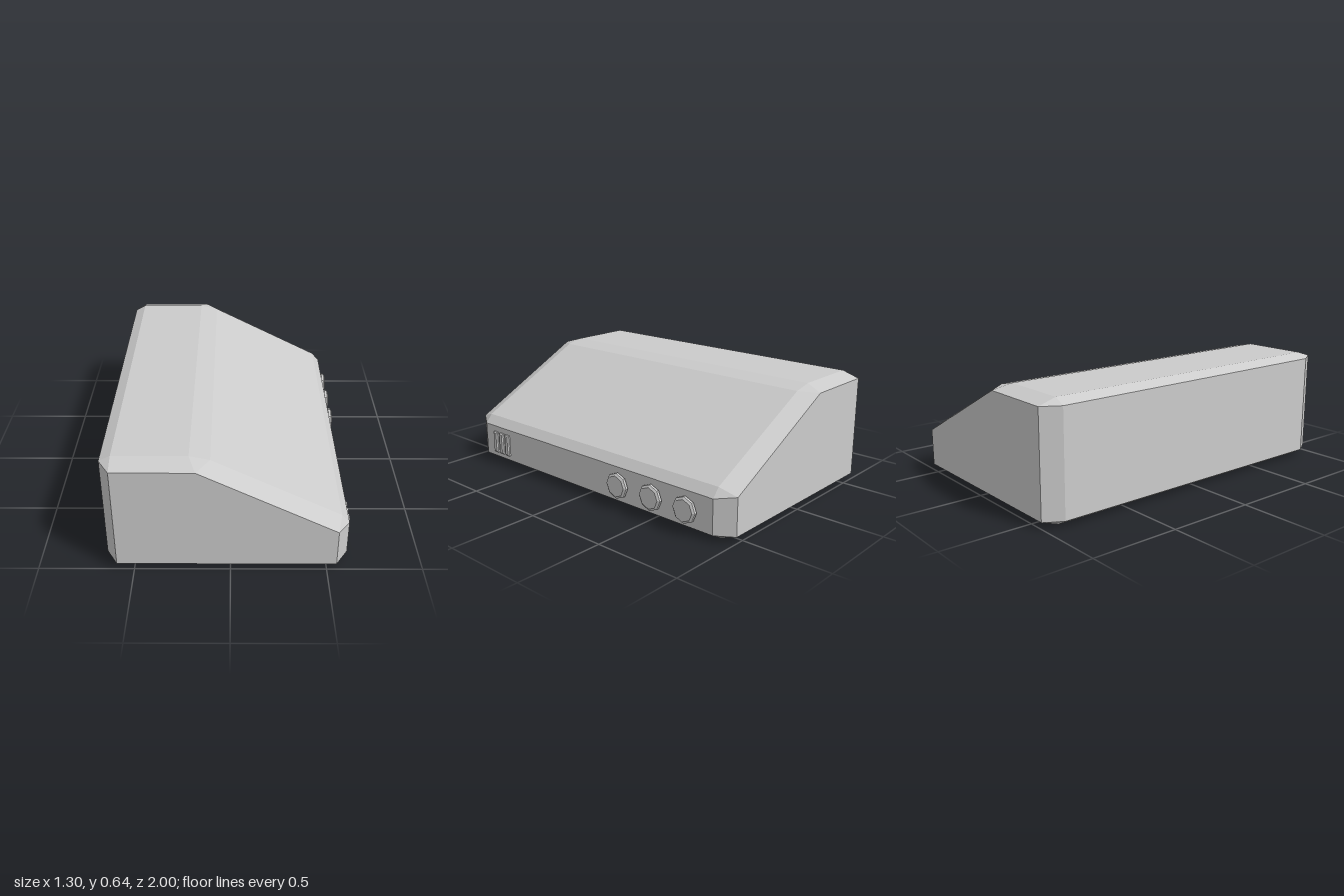
import * as THREE from 'three';
import { ConvexGeometry } from 'three/addons/geometries/ConvexGeometry.js';

const material = new THREE.MeshStandardMaterial({ color: 0xcccccc, flatShading: true });

function addMesh(group, name, geometry, x = 0, y = 0, z = 0) {
  const mesh = new THREE.Mesh(geometry, material);
  mesh.name = name;
  mesh.position.set(x, y, z);
  group.add(mesh);
  return mesh;
}

// Chamfered solid: each [x, y] profile is placed at +z and -z, then hulled
function chamferedSolid(sections) {
  const points = [];
  for (const { z, profile } of sections)
    for (const [x, y] of profile)
      points.push(new THREE.Vector3(x, y, z), new THREE.Vector3(x, y, -z));
  return new ConvexGeometry(points);
}

export function createModel() {
  const model = new THREE.Group();
  model.name = 'slopedConsole';

  // Wedge-shaped housing with chamfered edges all round
  addMesh(model, 'housing', chamferedSolid([
    {
      z: 0.9,
      profile: [
        [-0.59, 0], [0.55, 0], [0.615, 0.035], [0.615, 0.23], [0.573, 0.28],
        [-0.1, 0.622], [-0.205, 0.645], [-0.59, 0.645], [-0.65, 0.614], [-0.65, 0.035],
      ],
    },
    {
      z: 1,
      profile: [[-0.59, 0.035], [0.55, 0.035], [0.55, 0.245], [-0.17, 0.614], [-0.59, 0.614]],
    },
  ]));

  // Three octagonal knobs on the low edge
  const knobProfile = [[0, -0.01], [0.062, -0.01], [0.062, 0.003], [0.073, 0.01], [0.073, 0.024], [0.06, 0.032], [0, 0.032]]
    .map(([r, h]) => new THREE.Vector2(r, h));
  const knobGeometry = new THREE.LatheGeometry(knobProfile, 8).rotateZ(-Math.PI / 2);
  [-0.265, -0.505, -0.735].forEach((z, i) => addMesh(model, `knob${i + 1}`, knobGeometry, 0.615, 0.13, z));

  // Three upright bars with bevelled faces
  const barGeometry = chamferedSolid([
    { z: 0.018, profile: [[-0.01, -0.066], [-0.01, 0.066], [0.008, -0.066], [0.008, 0.066]] },
    { z: 0.011, profile: [[0.016, -0.059], [0.016, 0.059]] },
  ]);
  [0.8, 0.745, 0.69].forEach((z, i) => addMesh(model, `bar${i + 1}`, barGeometry, 0.615, 0.13, z));

  return model;
}
